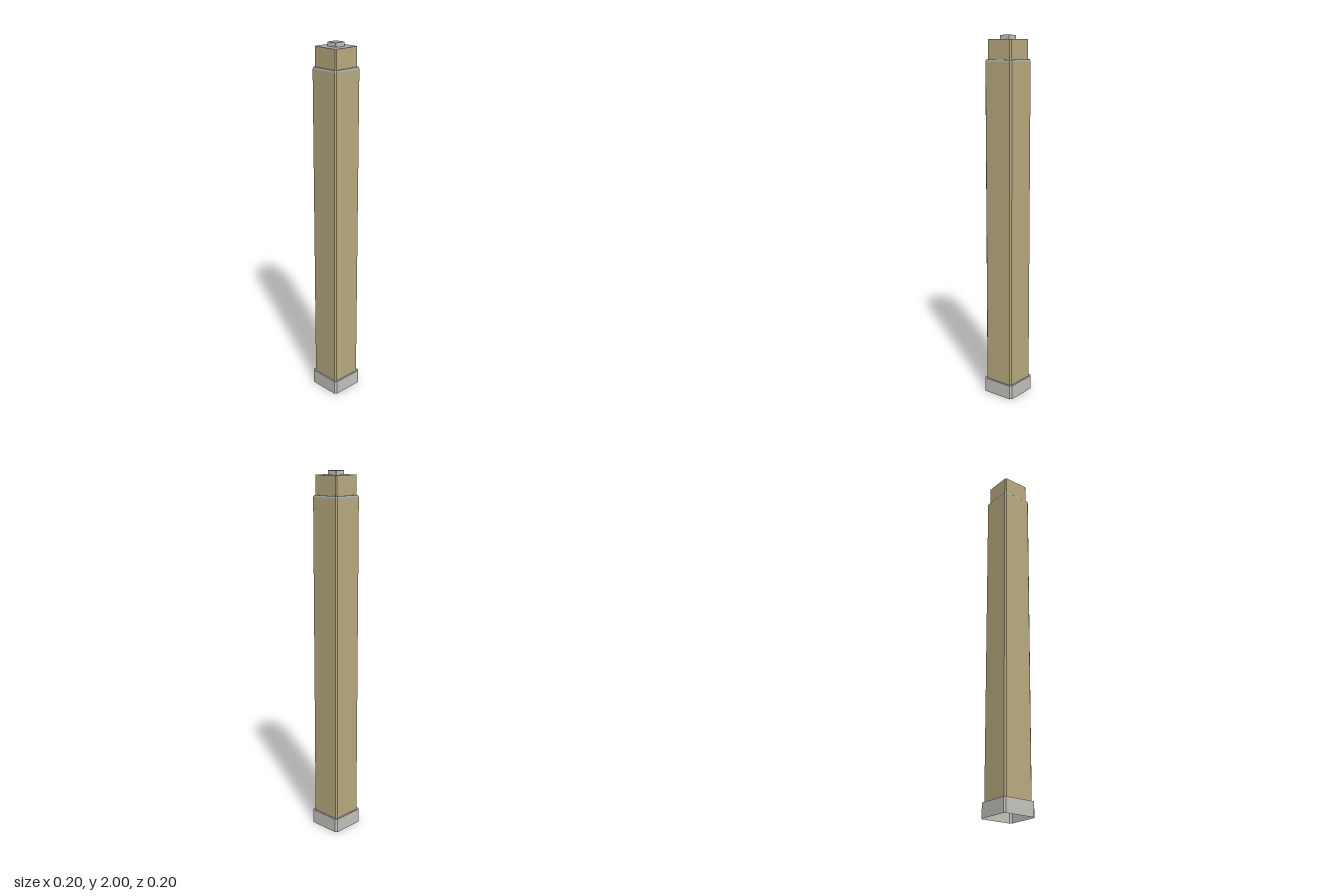
import * as THREE from 'three';

const tan = new THREE.MeshStandardMaterial({ color: 0xbcad82 });
tan.name = 'sandFacade';
const stone = new THREE.MeshStandardMaterial({ color: 0xc8c6c0, side: THREE.DoubleSide });
stone.name = 'paleStone';
const roof = new THREE.MeshStandardMaterial({ color: 0xa4a9ac, side: THREE.DoubleSide });
roof.name = 'roofGrey';

// Corners of a square with cut corners, running anticlockwise seen from above
function outline(half, cut) {
  const points = [];
  for (let i = 0; i < 4; i++) {
    const a = (i * Math.PI) / 2;
    for (const [x, y] of [[half, -half + cut], [half, half - cut]]) {
      points.push(new THREE.Vector2(x, y).rotateAround(new THREE.Vector2(), a));
    }
  }
  return points;
}

// Flat-shaded walls through rings of [half width, height]
function walls(name, material, rings, cut) {
  const positions = [];
  for (let r = 0; r + 1 < rings.length; r++) {
    const [low, high] = [rings[r], rings[r + 1]].map(([half, y]) =>
      outline(half, cut).map((p) => [p.x, y, -p.y]));
    for (let i = 0; i < low.length; i++) {
      const j = (i + 1) % low.length;
      positions.push(...low[i], ...low[j], ...high[j], ...low[i], ...high[j], ...high[i]);
    }
  }
  const geometry = new THREE.BufferGeometry();
  geometry.setAttribute('position', new THREE.Float32BufferAttribute(positions, 3));
  geometry.computeVertexNormals();
  const mesh = new THREE.Mesh(geometry, material);
  mesh.name = name;
  return mesh;
}

// Horizontal plate facing up
function plate(name, half, y, cut) {
  const geometry = new THREE.ShapeGeometry(new THREE.Shape(outline(half, cut)));
  geometry.rotateX(-Math.PI / 2);
  const mesh = new THREE.Mesh(geometry, roof);
  mesh.name = name;
  mesh.position.y = y;
  return mesh;
}

export function createModel() {
  const tower = new THREE.Group();
  tower.name = 'tower';

  // Hollow base, open underneath
  tower.add(walls('baseWalls', stone, [[0.0975, 0], [0.0975, 0.08]], 0.01));
  tower.add(plate('baseRoof', 0.0975, 0.08, 0.01));

  // Tall shaft with a small grey bevel around its top
  tower.add(walls('shaft', tan, [[0.088, 0.08], [0.088, 1.865]], 0.008));
  tower.add(walls('shaftBevel', roof, [[0.088, 1.865], [0.084, 1.875]], 0.008));
  tower.add(plate('shaftRoof', 0.084, 1.875, 0.008));

  // Set-back upper storey
  tower.add(walls('upperStorey', tan, [[0.0775, 1.875], [0.0775, 1.978]], 0.006));
  tower.add(plate('upperRoof', 0.0775, 1.978, 0.006));

  // Small plant room on the roof
  tower.add(walls('plantRoom', stone, [[0.0305, 1.978], [0.0305, 2]], 0.001));
  tower.add(plate('plantRoomRoof', 0.0305, 2, 0.001));

  // The whole tower stands slightly turned
  tower.rotation.y = 0.055;
  const model = new THREE.Group();
  model.name = 'towerModel';
  model.add(tower);
  return model;
}
